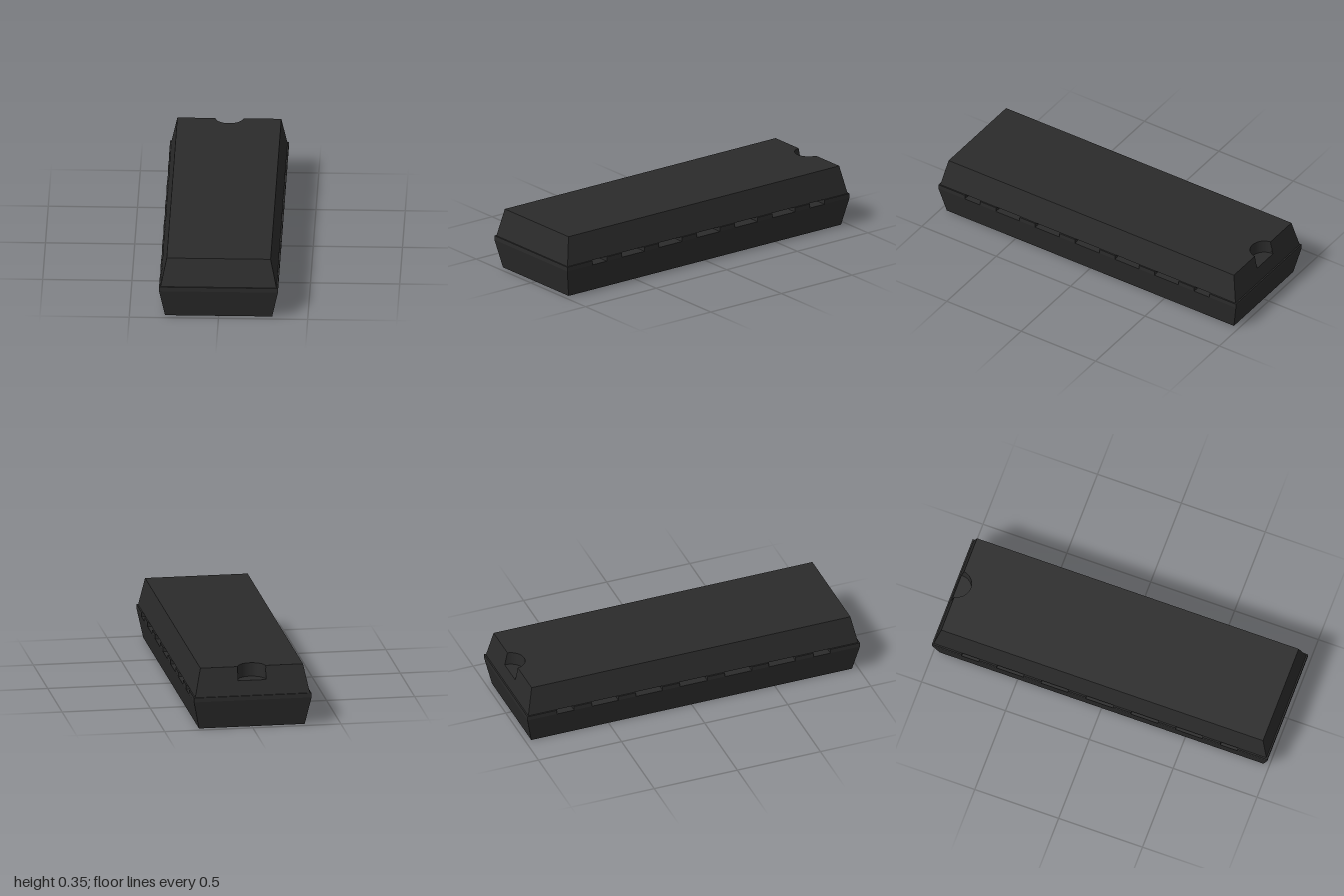
import * as THREE from 'three';

// Height, half width and half length at each level of the two tapered halves
const LOWER = [[0, 0.3, 0.965], [0.162, 0.333, 1]];
const UPPER = [[0.187, 0.325, 0.992], [0.348, 0.291, 0.959]];
const RIM = [[0.162, 0.333, 1], [0.187, 0.333, 1]];

const NOTCH_FLOOR = 0.27;
const NOTCH_RADIUS = 0.08;

// Pull every vertex inside the sloping walls, keeping flat faces
function clampToWalls(geometry, [[y0, w0, d0], [y1, w1, d1]]) {
  const geo = geometry.index ? geometry.toNonIndexed() : geometry;
  const p = geo.attributes.position;
  for (let i = 0; i < p.count; i++) {
    const t = (p.getY(i) - y0) / (y1 - y0);
    const w = THREE.MathUtils.lerp(w0, w1, t);
    const d = THREE.MathUtils.lerp(d0, d1, t);
    p.setX(i, THREE.MathUtils.clamp(p.getX(i), -w, w));
    p.setZ(i, THREE.MathUtils.clamp(p.getZ(i), -d, d));
  }
  geo.computeVertexNormals();
  return geo;
}

// Block between two heights and two z positions, across the full width
function slab(yLow, yHigh, zLow, zHigh, walls) {
  const geo = new THREE.BoxGeometry(2, yHigh - yLow, zHigh - zLow);
  geo.translate(0, (yLow + yHigh) / 2, (zLow + zHigh) / 2);
  return clampToWalls(geo, walls);
}

// Top layer with a half-round notch cut into its back edge
function notchedSlab() {
  const r = NOTCH_RADIUS;
  const outline = new THREE.Shape();
  outline.moveTo(-1, -1.1);
  outline.lineTo(1, -1.1);
  outline.lineTo(1, 1.1);
  outline.lineTo(r, 1.1);
  outline.absarc(0, 0.97, r, 0, Math.PI, true);
  outline.lineTo(-r, 1.1);
  outline.lineTo(-1, 1.1);
  const geo = new THREE.ExtrudeGeometry(outline, {
    depth: UPPER[1][0] - NOTCH_FLOOR, bevelEnabled: false, curveSegments: 24,
  });
  geo.rotateX(-Math.PI / 2);
  geo.translate(0, NOTCH_FLOOR, 0);
  return clampToWalls(geo, UPPER);
}

export function createModel() {
  const model = new THREE.Group();
  model.name = 'chipBody';
  const plastic = new THREE.MeshStandardMaterial({ color: 0x2b2b2b });

  const add = (name, geometry) => {
    const mesh = new THREE.Mesh(geometry, plastic);
    mesh.name = name;
    model.add(mesh);
  };

  // Tapered halves
  add('lowerHalf', slab(0, 0.162, -1.1, 1.1, LOWER));
  add('upperHalf', slab(0.187, NOTCH_FLOOR, -1.1, 1.1, UPPER));
  add('notchedTop', notchedSlab());

  // Rim blocks, leaving the pin slots open between them
  const blocks = [[0.082, 0.187], [0.349, 0.453], [0.613, 0.72], [0.822, 1]];
  for (const [near, far] of blocks) {
    add('frontRimBlock', slab(0.162, 0.187, near, far, RIM));
    add('backRimBlock', slab(0.162, 0.187, -far, -near, RIM));
  }
  return model;
}
